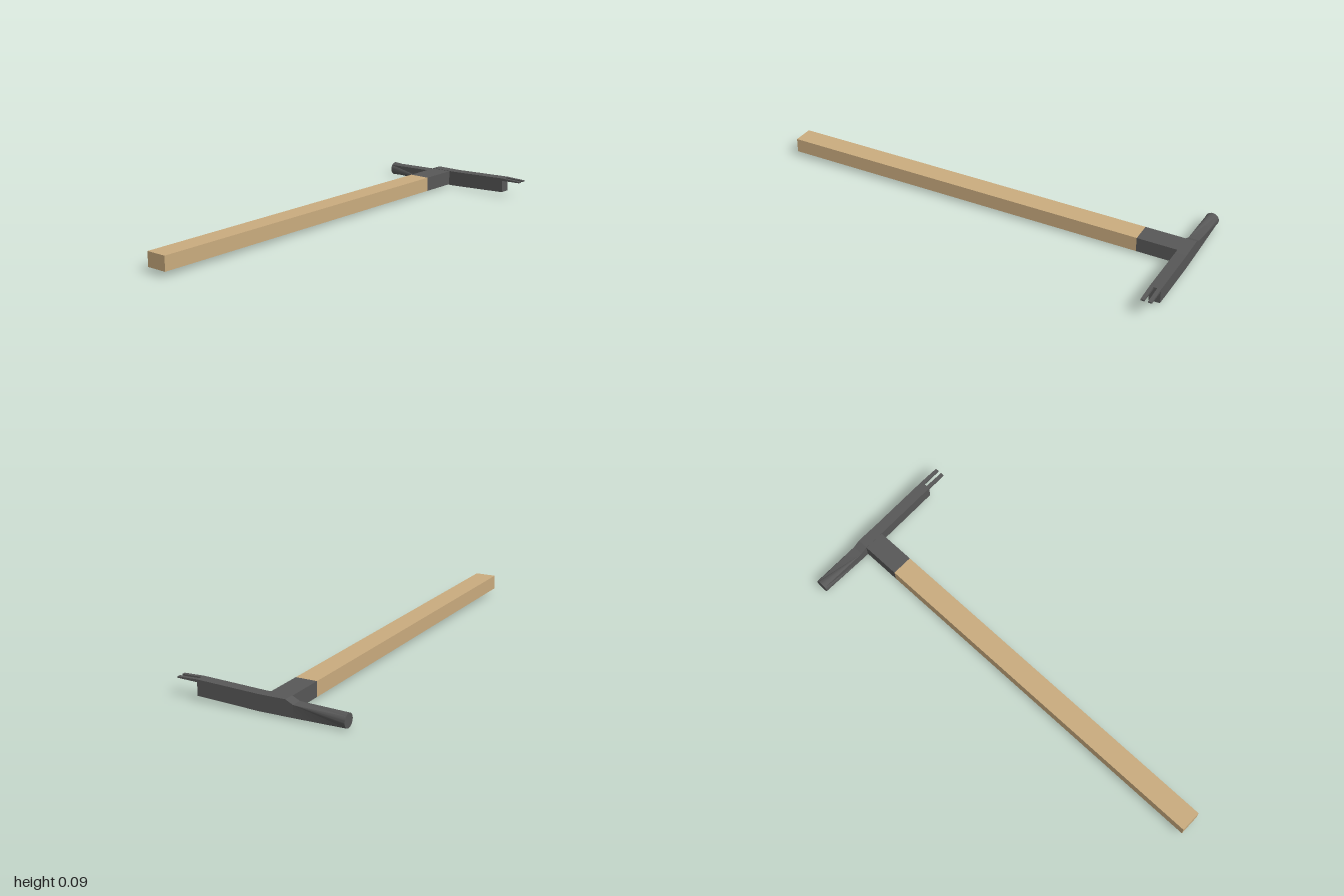
import * as THREE from 'three';
import { toCreasedNormals } from 'three/addons/utils/BufferGeometryUtils.js';

const wood = new THREE.MeshStandardMaterial({ color: 0xc9ab7e });
wood.name = 'wood';
const steel = new THREE.MeshStandardMaterial({ color: 0x575757 });
steel.name = 'dark steel';

function part(name, geometry, material) {
  const mesh = new THREE.Mesh(geometry, material);
  mesh.name = name;
  return mesh;
}

function extrude(points, depth) {
  const shape = new THREE.Shape(points.map(([a, b]) => new THREE.Vector2(a, b)));
  return new THREE.ExtrudeGeometry(shape, { depth, bevelEnabled: false });
}

// Side profile in (z, y), given thickness from x0 to x1
function sideProfile(points, x0, x1) {
  return extrude(points, x1 - x0).rotateY(-Math.PI / 2).translate(x1, 0, 0);
}

// Section of the slightly sloping rectangular shaft from x0 to x1
function shaftSection(x0, x1) {
  const top = (x) => 0.084 - 0.008 * x;
  const h = 0.067;
  return extrude(
    [[x0, top(x0) - h], [x1, top(x1) - h], [x1, top(x1)], [x0, top(x0)]], 0.099
  ).translate(0, 0, -0.121);
}

// Square neck blending, with a twist, into the round striking face
function polGeometry() {
  const zNeck = -0.155, zFace = -0.386, cx = 0.967, cy = 0.032, r = 0.031;
  const twist = -0.73, steps = 8;
  const corners = [[0.99, 0.061], [0.94, 0.061], [0.94, 0.007], [0.99, 0.007]];
  const rim = (i) => {
    const a = twist + (i / steps) * (Math.PI / 2);
    const s = Math.sin(a);
    return [cx + r * Math.cos(a), cy + r * s, zFace - 0.001 * s];
  };
  const pos = [];
  for (let q = 0; q < 4; q++) {
    const c = [...corners[q], zNeck];
    const next = [...corners[(q + 1) % 4], zNeck];
    for (let i = q * steps; i < (q + 1) * steps; i++) {
      pos.push(...c, ...rim(i), ...rim(i + 1));
      pos.push(cx, cy, zFace, ...rim(i + 1), ...rim(i));
    }
    pos.push(...c, ...rim((q + 1) * steps), ...next);
  }
  const g = new THREE.BufferGeometry();
  g.setAttribute('position', new THREE.Float32BufferAttribute(pos, 3));
  return toCreasedNormals(g, 0.5);
}

export function createModel() {
  const model = new THREE.Group();
  model.name = 'hammer';

  // Shaft
  model.add(part('handle', shaftSection(-1, 0.755), wood));
  model.add(part('collar', shaftSection(0.755, 0.945), steel));

  // Head
  const head = new THREE.Group();
  head.name = 'head';
  head.add(part('headBody', sideProfile([
    [0.292, 0.02], [0.292, 0.089], [0, 0.078], [-0.12, 0.078],
    [-0.155, 0.061], [-0.155, 0.007], [0, 0.007],
  ], 0.94, 0.99), steel));
  head.add(part('strikingEnd', polGeometry(), steel));

  // Two thin claw prongs with a slot between them
  const prong = [[0.29, 0.077], [0.388, 0.08], [0.388, 0.086], [0.29, 0.089]];
  [[0.94, 0.957], [0.973, 0.99]].forEach(([x0, x1], i) => {
    head.add(part(i ? 'leftProng' : 'rightProng', sideProfile(prong, x0, x1), steel));
  });
  model.add(head);
  return model;
}
